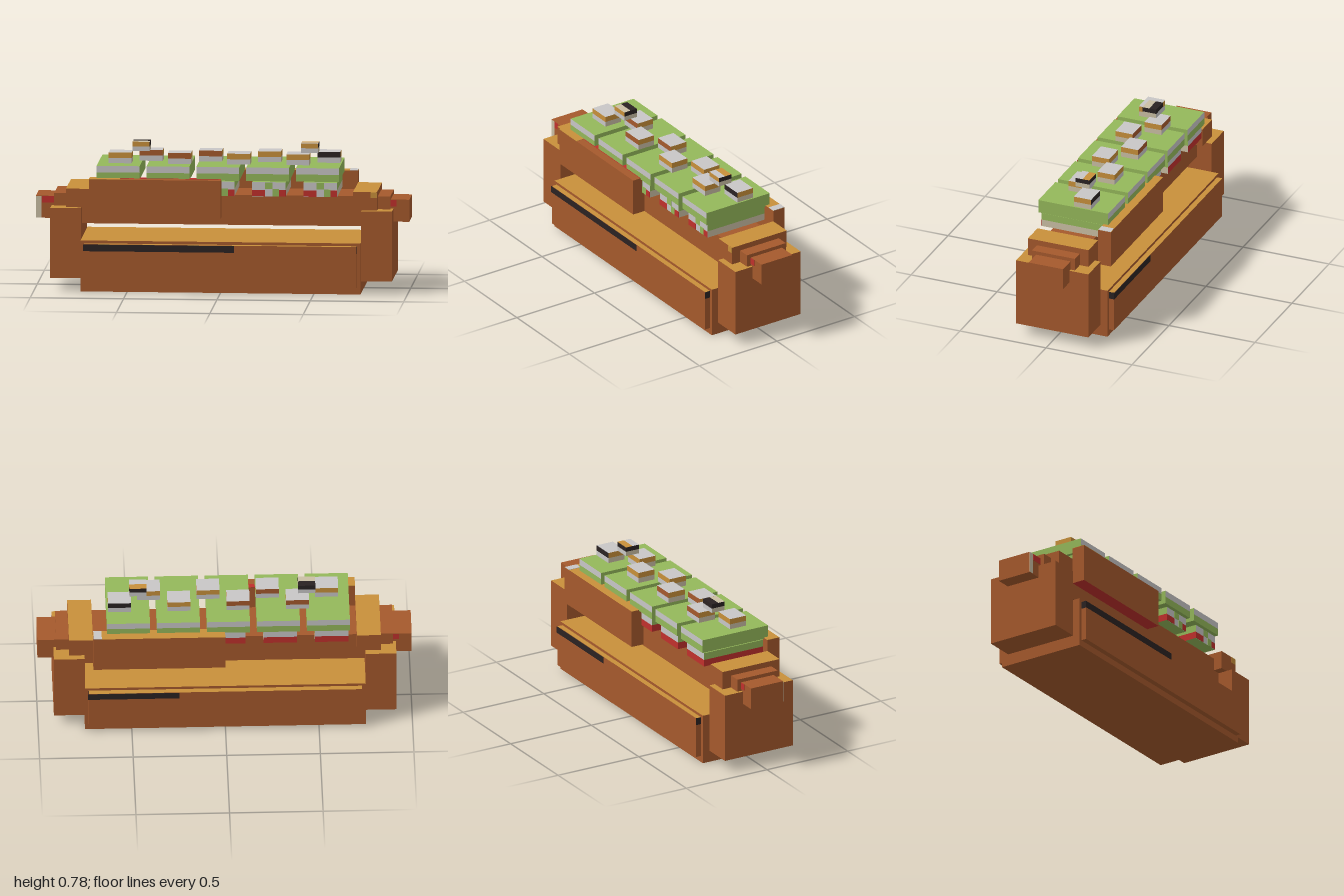
import * as THREE from 'three';

const mat = (name, color) => {
  const m = new THREE.MeshStandardMaterial({ color });
  m.name = name;
  return m;
};

export function createModel() {
  const root = new THREE.Group();
  const brown = mat('rust brown', 0xa5592c);
  const ochre = mat('ochre', 0xc8903a);
  const green = mat('leaf green', 0x94b85a);
  const grey = mat('light grey', 0xc8c6c6);
  const beige = mat('beige', 0xcabfa4);
  const dark = mat('near black', 0x2a2222);
  const red = mat('red', 0xc0302c);

  // Box from its extents; faces are ordered +x, -x, +y, -y, +z, -z
  const box = (name, [x0, x1], [y0, y1], [z0, z1], m, parent = root) => {
    const mesh = new THREE.Mesh(new THREE.BoxGeometry(x1 - x0, y1 - y0, z1 - z0), m);
    mesh.position.set((x0 + x1) / 2, (y0 + y1) / 2, (z0 + z1) / 2);
    mesh.name = name;
    parent.add(mesh);
    return mesh;
  };
  const mirror = (s, a, b) => (s > 0 ? [a, b] : [-b, -a]);
  const topped = (side, top, bottom = side) => [side, side, top, bottom, side, side];

  // Base with a raised panel and dark strip on each long side
  box('base', [-0.75, 0.75], [0, 0.275], [-0.25, 0.25], topped(brown, ochre));
  for (const s of [1, -1]) {
    const z = mirror(s, 0.25, 0.28);
    box('sidePanel', [-0.73, 0.73], [0.035, 0.22], z, brown);
    box('sidePanelTop', [-0.73, 0.73], [0.22, 0.26], z, [dark, dark, ochre, brown, brown, brown]);
    const strip = s > 0 ? [-0.735, 0.075] : [0.245, 0.735];
    box('darkStrip', strip, [0.222, 0.258], mirror(s, 0.279, 0.282), dark);
  }

  // Long beam carried by the two end blocks
  box('beam', [-0.9, 0.9], [0.35, 0.512], [-0.125, 0.125], brown);
  for (const s of [1, -1]) {
    box('endBlock', mirror(s, 0.75, 0.915), [0.065, 0.443], [-0.21, 0.21], topped(brown, ochre));
    box('saddle', mirror(s, 0.705, 0.833), [0.443, 0.543], [-0.176, 0.176], topped(brown, ochre));
    box('endKnob', mirror(s, 0.9, 1), [0.373, 0.492], [-0.1, 0.1], brown);
    box('knobRedPatch', mirror(s, 0.9, 0.932), [0.455, 0.49], mirror(s, 0.099, 0.102), red);
  }
  box('knobGreyPatch', [-1, -0.97], [0.375, 0.49], [0.099, 0.102], beige);
  box('knobRedPatch', [-0.968, -0.9], [0.455, 0.49], [0.099, 0.102], red);
  box('saddlePatch', [0.797, 0.832], [0.51, 0.542], [0.175, 0.178], ochre);

  // Offset side boards, one on each half
  box('frontBoard', [-0.705, 0], [0.4, 0.605], [0.176, 0.25], topped(brown, brown, red));
  box('frontBoardEdge', [-0.705, -0.54], [0.604, 0.607], [0.176, 0.25], ochre);
  box('frontBoardRedEdge', [-0.54, 0], [0.604, 0.607], [0.177, 0.205], red);
  box('backBoard', [0, 0.705], [0.4, 0.605], [-0.25, -0.176], topped(brown, ochre, red));
  box('backBoardPatch', [0.66, 0.704], [0.604, 0.607], [-0.249, -0.177], grey);

  // Two layers of five layered slabs
  for (let i = 0; i < 5; i++) {
    const low = new THREE.Group();
    low.name = 'lowerSlab';
    root.add(low);
    const a = -0.66 + i * 0.275;
    const lx = [a, a + 0.18], lz = [-0.19, 0.19];
    box('lowerBand', lx, [0.515, 0.553], lz, [beige, red, red, green, grey, red], low);
    box('upperBand', lx, [0.553, 0.592], lz, [green, green, green, green, grey, grey], low);
    box('redPatch', [a, a + 0.07], [0.516, 0.55], [0.189, 0.192], red, low);
    box('redPatch', [a + 0.145, a + 0.18], [0.516, 0.55], [0.189, 0.192], red, low);
    box('greenPatch', [a + 0.11, a + 0.145], [0.516, 0.555], [0.189, 0.192], green, low);
    box('greenPatch', [a + 0.07, a + 0.11], [0.555, 0.59], [0.189, 0.192], green, low);

    const up = new THREE.Group();
    up.name = 'upperSlab';
    root.add(up);
    const b = -0.667 + i * 0.267;
    const ux = [b, b + 0.23], uz = [-0.203, 0.203];
    box('lowerBand', ux, [0.599, 0.637], uz, green, up);
    box('upperBand', ux, [0.637, 0.672], uz, [green, green, green, green, grey, grey], up);
  }

  // Alternating small blocks on the slabs
  [ochre, brown, brown, brown, ochre, ochre, ochre, dark].forEach((band, i) => {
    const x = -0.61 + i * 0.1585;
    const bx = [x, x + 0.123], bz = i % 2 ? [-0.1, 0] : [0, 0.1];
    box('smallBlockBase', bx, [0.672, 0.7], bz, [beige, beige, grey, beige, grey, grey]);
    box('smallBlockTop', bx, [0.7, 0.73], bz, [ochre, ochre, grey, ochre, band, band]);
  });

  // Two tiny blocks at the very top, each with a two-tone lid
  for (const [x, lid, front] of [[-0.487, dark, beige], [0.415, ochre, grey]]) {
    const bx = [x, x + 0.092];
    box('tinyBlockBase', bx, [0.73, 0.755], [-0.04, 0.04], [beige, beige, grey, beige, grey, grey]);
    box('tinyBlockBack', bx, [0.755, 0.78], [-0.04, 0], [dark, dark, lid, ochre, ochre, dark]);
    box('tinyBlockFront', bx, [0.755, 0.78], [0, 0.04], [dark, dark, front, ochre, ochre, ochre]);
  }

  return root;
}
